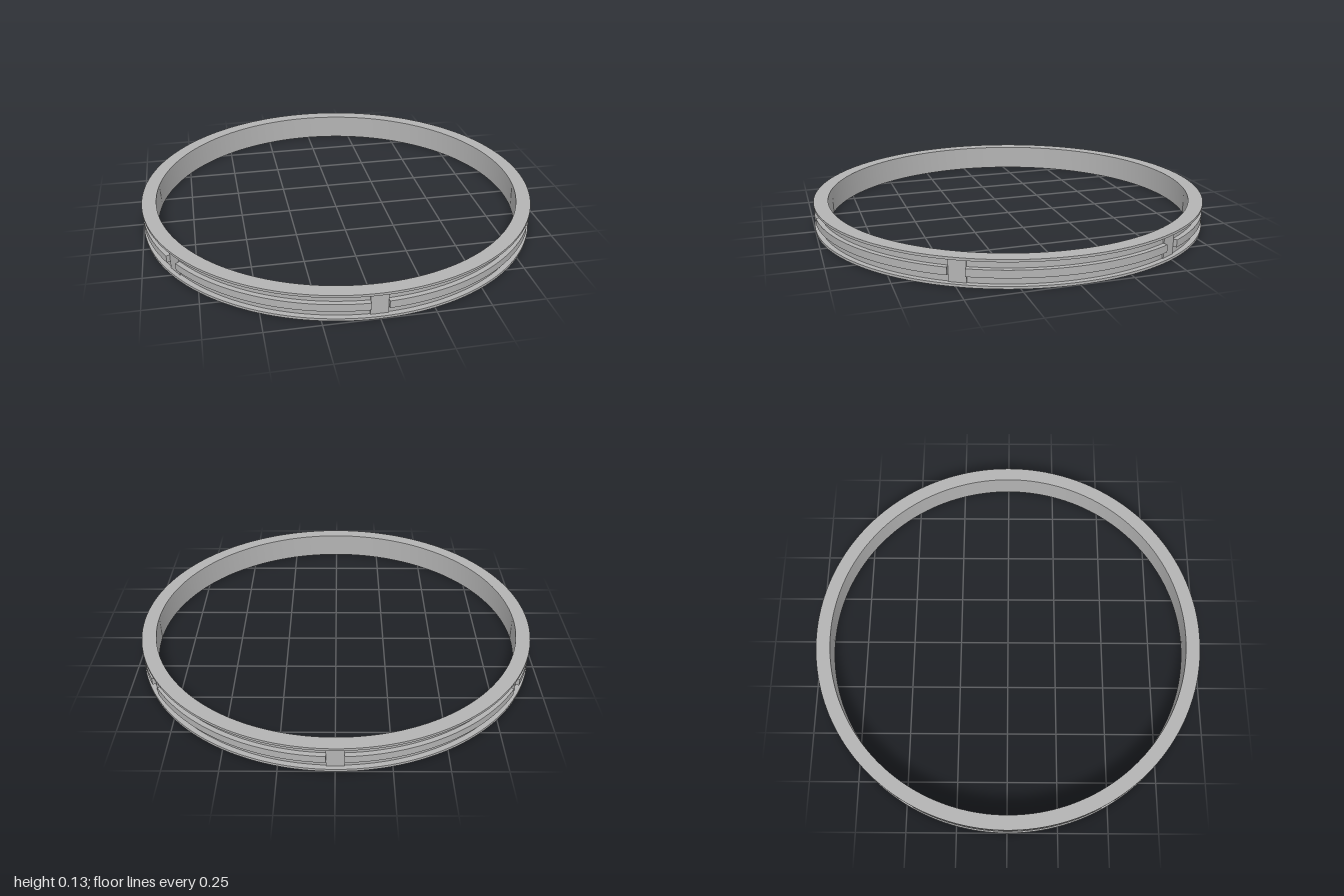
import * as THREE from 'three';
import { toCreasedNormals } from 'three/addons/utils/BufferGeometryUtils.js';

const HEIGHT = 0.131, MID = HEIGHT / 2;
const FLANGE = 0.012;         // flange thickness
const OUTER = 1, GROOVE = 0.974, INNER = 0.928;
const COUNT = 6;              // blocks and rail sections
const HALF_BLOCK = 0.04;

export function createModel() {
  const group = new THREE.Group();
  const grey = new THREE.MeshStandardMaterial({ color: 0xb3b3b3 });
  grey.name = 'grey metal';

  const add = (name, geometry) => {
    const mesh = new THREE.Mesh(geometry, grey);
    mesh.name = name;
    group.add(mesh);
    return mesh;
  };

  // Ring body: channel section with a flange at top and bottom
  const profile = [
    [INNER, 0], [OUTER, 0], [OUTER, FLANGE], [GROOVE, FLANGE],
    [GROOVE, HEIGHT - FLANGE], [OUTER, HEIGHT - FLANGE],
    [OUTER, HEIGHT], [INNER, HEIGHT], [INNER, 0],
  ].map(([r, y]) => new THREE.Vector2(r, y));
  add('ringBody', toCreasedNormals(new THREE.LatheGeometry(profile, 180), 0.5));

  // Raised rail section, running in the groove from one block to the next
  const railOuter = 0.998, railInner = 0.96, railHeight = 0.036;
  const gap = Math.asin(HALF_BLOCK / railOuter);
  const start = gap, end = (Math.PI * 2) / COUNT - gap;
  const arc = new THREE.Shape();
  arc.absarc(0, 0, railOuter, start, end, false);
  arc.absarc(0, 0, railInner, end, start, true);
  arc.closePath();
  const railGeometry = toCreasedNormals(
    new THREE.ExtrudeGeometry(arc, { depth: railHeight, bevelEnabled: false, curveSegments: 30 })
      .rotateX(-Math.PI / 2)
      .rotateY(Math.PI / 2)
      .translate(0, MID - railHeight / 2, 0), 0.5);

  // Flat block set into the groove between rail sections
  const blockOuter = 0.979, blockInner = 0.95;
  const blockGeometry = new THREE.BoxGeometry(
    HALF_BLOCK * 2, HEIGHT - FLANGE * 2, blockOuter - blockInner)
    .translate(0, MID, (blockOuter + blockInner) / 2);

  for (let i = 0; i < COUNT; i++) {
    const angle = (i / COUNT) * Math.PI * 2;
    add('railSection' + (i + 1), railGeometry).rotation.y = angle;
    add('grooveBlock' + (i + 1), blockGeometry).rotation.y = angle;
  }
  return group;
}
